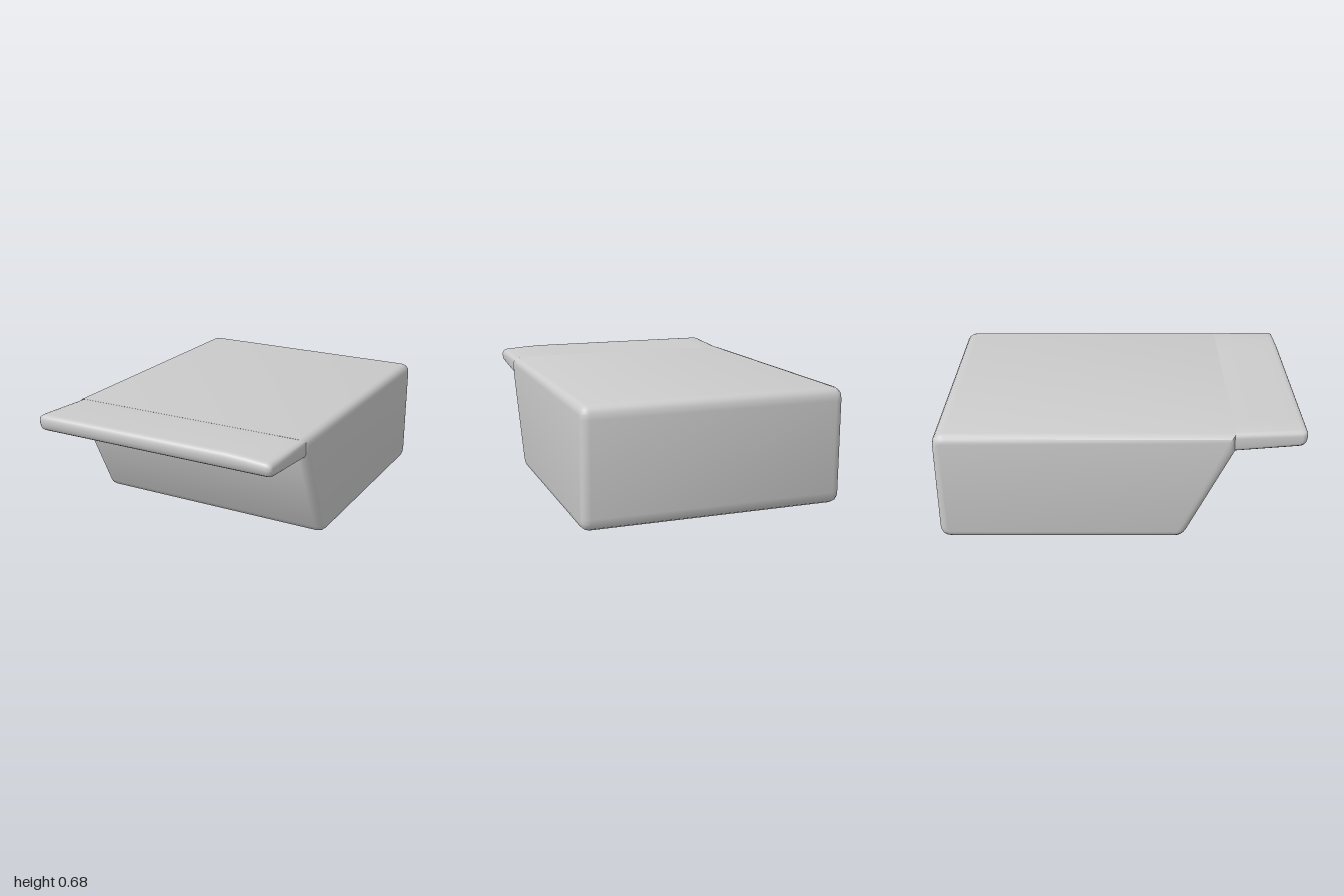
import * as THREE from 'three';
import { toCreasedNormals } from 'three/addons/utils/BufferGeometryUtils.js';

const material = new THREE.MeshStandardMaterial({ color: 0xcccccc });

// Closed outline from [z, y, cornerRadius] points
function roundedOutline(points) {
  const shape = new THREE.Shape();
  points.forEach(([x, y, r], i) => {
    const p = new THREE.Vector2(x, y);
    const towards = (q) => new THREE.Vector2(q[0], q[1]).sub(p).setLength(r).add(p);
    const a = towards(points[(i + points.length - 1) % points.length]);
    const b = towards(points[(i + 1) % points.length]);
    if (i === 0) shape.moveTo(a.x, a.y);
    else shape.lineTo(a.x, a.y);
    if (r > 0) shape.quadraticCurveTo(x, y, b.x, b.y);
  });
  shape.closePath();
  return shape;
}

// Side profile swept across the width, with softened side edges
function sweptProfile(points, xMin, xMax, bevel, bevelDepth, steps = 1) {
  const geometry = new THREE.ExtrudeGeometry(roundedOutline(points), {
    depth: xMax - xMin - 2 * bevelDepth,
    steps,
    curveSegments: 4,
    bevelThickness: bevelDepth,
    bevelSize: bevel,
    bevelOffset: -bevel,
    bevelSegments: 3,
  });
  geometry.rotateY(-Math.PI / 2);
  geometry.translate(xMax - bevelDepth, 0, 0);
  return geometry;
}

function addPart(group, name, geometry) {
  const mesh = new THREE.Mesh(toCreasedNormals(geometry, 0.6), material);
  mesh.name = name;
  group.add(mesh);
}

export function createModel() {
  const group = new THREE.Group();
  group.name = 'slopedBin';

  // Main block with a slanted front
  const body = sweptProfile([
    [0.615, 0.66, 0], [-0.995, 0.66, 0.07], [-0.995, 0.018, 0.07],
    [0.35, 0.018, 0.05], [0.615, 0.56, 0],
  ], -0.722, 0.72, 0.04, 0.045);
  addPart(group, 'body', body);

  // Overhanging front lip, dipping towards its left corner
  const lip = sweptProfile([
    [0.57, 0.657, 0], [0.57, 0.552, 0], [0.99, 0.587, 0.04],
    [1.0, 0.68, 0.04],
  ], -0.70, 0.712, 0.025, 0.03, 12);
  const p = lip.attributes.position;
  for (let i = 0; i < p.count; i++) {
    if (p.getZ(i) > 0.7 && p.getY(i) > 0.63) {
      const t = THREE.MathUtils.clamp((p.getX(i) - 0.5) / 0.2, 0, 1);
      p.setY(i, p.getY(i) - 0.015 * t);
    }
  }
  addPart(group, 'frontLip', lip);

  // Shallow belly narrowing down to the ground
  const belly = new THREE.BoxGeometry(1.38, 0.03, 1.29);
  belly.translate(0, 0.015, -0.31);
  const q = belly.attributes.position;
  for (let i = 0; i < q.count; i++) {
    if (q.getY(i) < 0.01) {
      q.setX(i, Math.sign(q.getX(i)) * 0.4);
      q.setZ(i, q.getZ(i) > 0 ? 0.16 : -0.85);
    }
  }
  addPart(group, 'underside', belly);

  return group;
}
